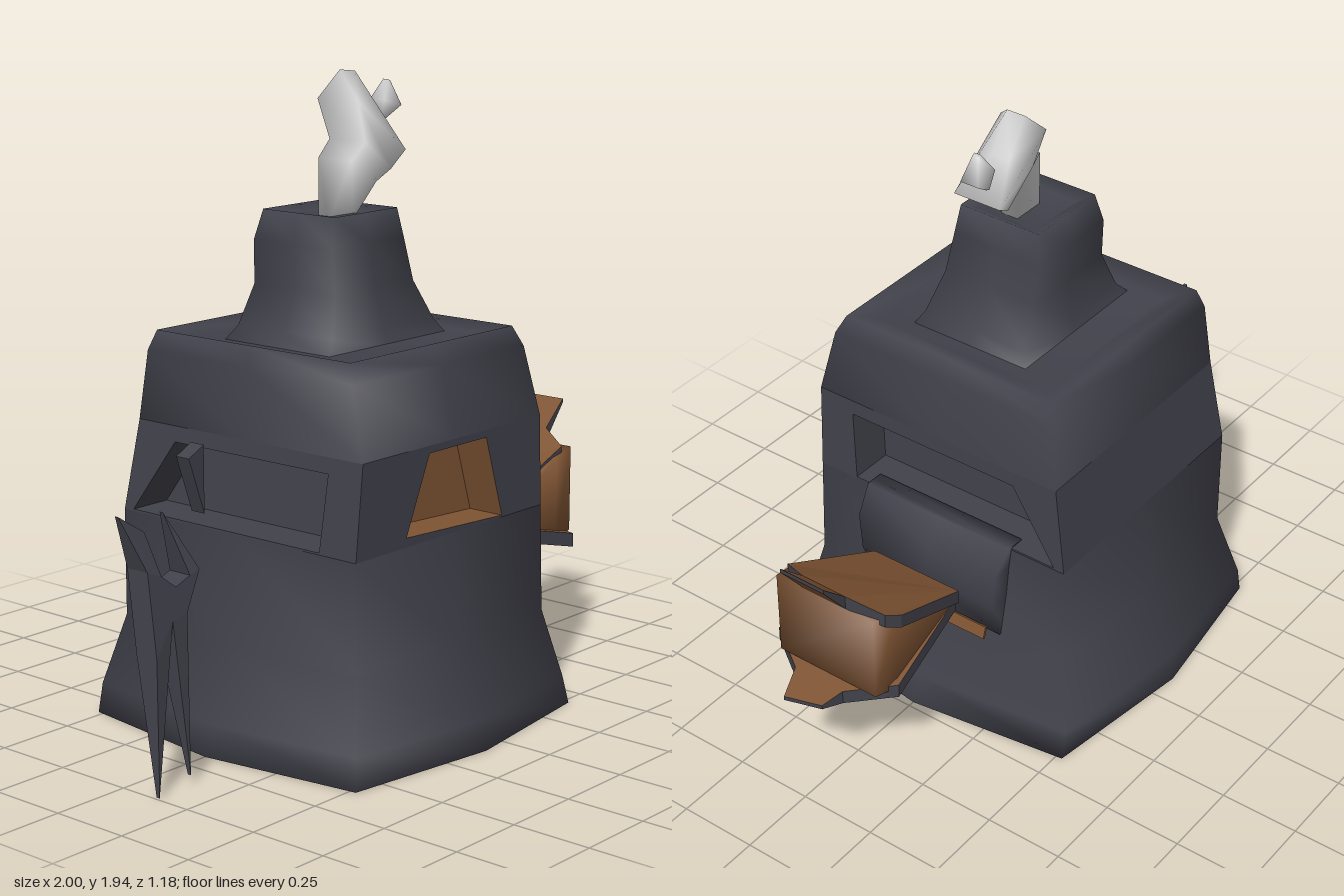
import * as THREE from 'three';
import { toCreasedNormals } from 'three/addons/utils/BufferGeometryUtils.js';

const mat = (name, color) => Object.assign(new THREE.MeshStandardMaterial({ color }), { name });
const V = (x, y, z) => new THREE.Vector3(x, y, z);

// Triangles from corner quads, dropping collapsed ones, with softened normals
function fromQuads(quads, crease = 0.7) {
  const out = [];
  const tri = (a, b, c) => {
    const area = b.clone().sub(a).cross(c.clone().sub(a)).length();
    if (area > 1e-6) for (const p of [a, b, c]) out.push(p.x, p.y, p.z);
  };
  for (const [a, b, c, d] of quads) { tri(a, b, c); tri(a, c, d); }
  const g = new THREE.BufferGeometry();
  g.setAttribute('position', new THREE.Float32BufferAttribute(out, 3));
  return toCreasedNormals(g, crease);
}

// Skin over a stack of cross-sections, smooth all over, with optional end caps
function loft(rings, capStart = true, capEnd = true) {
  const quads = [], n = rings[0].length;
  for (let r = 0; r + 1 < rings.length; r++) {
    for (let i = 0; i < n; i++) {
      const j = (i + 1) % n;
      quads.push([rings[r][i], rings[r + 1][i], rings[r + 1][j], rings[r][j]]);
    }
  }
  const cap = (ring, up) => {
    for (let i = 1; i + 1 < n; i++) {
      const t = up ? [ring[0], ring[i + 1], ring[i]] : [ring[0], ring[i], ring[i + 1]];
      quads.push([...t, t[2]]);
    }
  };
  if (capStart) cap(rings[0], false);
  if (capEnd) cap(rings[rings.length - 1], true);
  return fromQuads(quads, 2.2);
}

// Horizontal rectangle whose sides bow outwards by b
const ring = (y, x0, x1, z0, z1, b = 0) => {
  const xm = (x0 + x1) / 2, zm = (z0 + z1) / 2;
  return [V(x1 - b, y, z0 + b), V(x1, y, zm), V(x1 - b, y, z1 - b), V(xm, y, z1),
    V(x0 + b, y, z1 - b), V(x0, y, zm), V(x0 + b, y, z0 + b), V(xm, y, z0)];
};
// Horizontal rectangle tilted from height y0 at x0 to y1 at x1
const tilted = (x0, y0, x1, y1, z0, z1) => [V(x1, y1, z0), V(x1, y1, z1), V(x0, y0, z1), V(x0, y0, z0)];
// Upright rectangle facing along x
const upright = (x, y0, y1, z0, z1) => [V(x, y0, z1), V(x, y1, z1), V(x, y1, z0), V(x, y0, z0)];
const shape = pts => new THREE.Shape(pts.map(p => new THREE.Vector2(...p)));

export function createModel() {
  const model = new THREE.Group();
  model.name = 'forge';
  const iron = mat('darkStone', 0x41414b);
  const brown = mat('leatherBrown', 0x7f5433);
  const smokeGrey = mat('smokeGrey', 0xd2d2d2);
  const add = (name, geometry, material) => {
    const m = new THREE.Mesh(geometry, material);
    m.name = name;
    model.add(m);
    return m;
  };

  // Flared furnace base
  add('furnaceBase', loft([
    ring(0.01, -0.67, 0.48, -0.59, 0.59, 0.07), ring(0.1, -0.64, 0.45, -0.58, 0.57, 0.06),
    ring(0.32, -0.56, 0.36, -0.49, 0.5, 0.03), ring(0.65, -0.53, 0.33, -0.46, 0.46),
  ], true, false), iron);

  // Middle walls: recessed openings on the front and both sides, a plain back
  const low = [V(-0.53, 0.65, 0.46), V(0.33, 0.65, 0.46), V(0.33, 0.65, -0.46), V(-0.53, 0.65, -0.46)];
  const high = [V(-0.5, 0.93, 0.46), V(0.32, 0.93, 0.46), V(0.32, 0.93, -0.42), V(-0.5, 0.93, -0.42)];
  const sideHole = [[0.15, 0.02], [0.96, 0.02], [0.82, 0.83], [0.14, 0.83]];
  const mirroredHole = [1, 0, 3, 2].map(i => [1 - sideHole[i][0], sideHole[i][1]]);
  const walls = [
    { name: 'front', hole: [[0.255, 0.1], [0.775, 0.02], [0.68, 0.92], [0.36, 0.92]], inward: V(0, 0, -0.12), fill: brown },
    { name: 'left', hole: sideHole, inward: V(-0.14, 0, 0), fill: iron },
    { name: 'back' },
    { name: 'right', hole: mirroredHole, inward: V(0.14, 0, 0), fill: iron },
  ];
  walls.forEach(({ name, hole, inward, fill }, k) => {
    const n = (k + 1) % 4, outer = [low[k], low[n], high[n], high[k]];
    if (!hole) { add(name + 'Wall', fromQuads([outer]), iron); return; }
    const rim = hole.map(([u, v]) => low[k].clone().lerp(low[n], u).lerp(high[k].clone().lerp(high[n], u), v));
    const deep = rim.map(p => p.clone().add(inward));
    const frame = [], reveal = [deep];
    for (let i = 0; i < 4; i++) {
      const j = (i + 1) % 4;
      frame.push([outer[i], outer[j], rim[j], rim[i]]);
      reveal.push([rim[i], rim[j], deep[j], deep[i]]);
    }
    add(name + 'Wall', fromQuads(frame), iron);
    add(name + 'Opening', fromQuads(reveal), fill);
  });

  // Hood with a shallow sunken roof
  add('hood', loft([
    ring(0.93, -0.5, 0.32, -0.42, 0.46), ring(1.14, -0.48, 0.3, -0.4, 0.41),
    ring(1.2, -0.46, 0.28, -0.38, 0.38), ring(1.18, -0.39, 0.21, -0.31, 0.31),
  ], false, true), iron);

  // Chimney
  add('chimney', loft([
    ring(1.17, -0.37, 0.17, -0.2, 0.22), ring(1.22, -0.32, 0.14, -0.18, 0.19),
    ring(1.34, -0.27, 0.08, -0.16, 0.16), ring(1.47, -0.26, 0.06, -0.17, 0.14),
    ring(1.56, -0.24, 0.04, -0.15, 0.13), ring(1.54, -0.2, 0.0, -0.11, 0.09),
  ], false, true), iron);

  // Sloping socket for the bellows, with brown patches below it
  add('airSocket', loft([
    ring(0.32, 0.28, 0.35, -0.24, 0.24), ring(0.46, 0.28, 0.4, -0.25, 0.25),
    ring(0.58, 0.28, 0.4, -0.26, 0.26), ring(0.66, 0.28, 0.34, -0.27, 0.27),
  ]), iron);
  for (const [z, width] of [[0.145, 0.1], [-0.125, 0.15]]) {
    const patch = add('socketPatch', new THREE.BoxGeometry(0.009, 0.04, width), brown);
    patch.position.set(0.37, 0.32, z);
    patch.rotation.z = 0.3;
  }

  // Bellows bag
  add('bellowsBag', loft([
    upright(0.46, 0.46, 0.52, -0.16, 0.15), upright(0.78, 0.39, 0.67, -0.19, 0.19),
    upright(0.87, 0.41, 0.69, -0.18, 0.18),
  ]), brown);

  // Bellows boards: brown faces with dark edges, each bent towards its handle
  const board = (name, outline, heightAt) => {
    const g = new THREE.ExtrudeGeometry(shape(outline), { depth: 0.045, bevelEnabled: false }).rotateX(Math.PI / 2);
    const p = g.attributes.position;
    for (let i = 0; i < p.count; i++) {
      const x = p.getX(i), taper = x > 0.9 ? 0.3 : 1;
      p.setY(i, p.getY(i) * taper + heightAt(x));
    }
    g.computeVertexNormals();
    add(name, g, [brown, iron]);
  };
  board('upperBoard', [[0.46, -0.17], [0.79, -0.22], [0.84, -0.2], [0.87, -0.08], [0.96, -0.08],
    [0.96, 0.08], [0.87, 0.08], [0.82, 0.18], [0.46, 0.15]],
  x => x < 0.84 ? 0.53 + (x - 0.46) * 0.47 : 0.71 + (x - 0.84) * 0.92);
  board('lowerBoard', [[0.46, -0.16], [0.8, -0.21], [0.9, -0.08], [0.97, -0.06], [1.0, 0.06],
    [0.9, 0.1], [0.81, 0.24], [0.46, 0.16]],
  x => x < 0.82 ? 0.5 - (x - 0.46) * 0.23 : 0.417 - (x - 0.82) * 0.22);

  // Tongs leaning forward at the feet and thinning towards every tip
  const tongs = new THREE.ExtrudeGeometry(shape([[-1, 0.8], [-0.95, 0.64], [-0.96, 0.4], [-0.99, 0.01],
    [-0.88, 0.49], [-0.86, 0.04], [-0.82, 0.5], [-0.75, 0.61], [-0.83, 0.78], [-0.79, 0.6],
    [-0.85, 0.58], [-0.9, 0.62], [-0.91, 0.74]]), { depth: 0.08, bevelEnabled: false });
  const tp = tongs.attributes.position;
  for (let i = 0; i < tp.count; i++) {
    const y = tp.getY(i), thin = y > 0.7 || y < 0.1 ? 0.15 : 1;
    tp.setZ(i, (tp.getZ(i) - 0.04) * thin + 0.13 - 0.17 * y);
  }
  tongs.computeVertexNormals();
  add('tongs', tongs, iron);

  // Loose metal shard
  add('metalShard', new THREE.ExtrudeGeometry(shape([[-0.77, 0.93], [-0.71, 0.76], [-0.71, 0.96]]),
    { depth: 0.05, bevelEnabled: false }), iron);

  // Smoke plume bending to one side, and a detached puff
  add('smokePlume', loft([
    tilted(-0.13, 1.52, -0.02, 1.52, -0.03, 0.01), tilted(-0.13, 1.71, -0.02, 1.64, -0.03, 0.1),
    tilted(0, 1.75, 0.12, 1.66, -0.1, 0.04), tilted(-0.02, 1.87, 0.2, 1.71, -0.13, 0.03),
    tilted(0.07, 1.95, 0.14, 1.84, -0.12, -0.06),
  ]), smokeGrey);
  add('smokePuff', loft([
    tilted(0.22, 1.78, 0.235, 1.785, -0.11, -0.09), tilted(0.22, 1.85, 0.3, 1.83, -0.13, -0.07),
    tilted(0.26, 1.91, 0.27, 1.905, -0.11, -0.09),
  ]), smokeGrey);

  return model;
}
